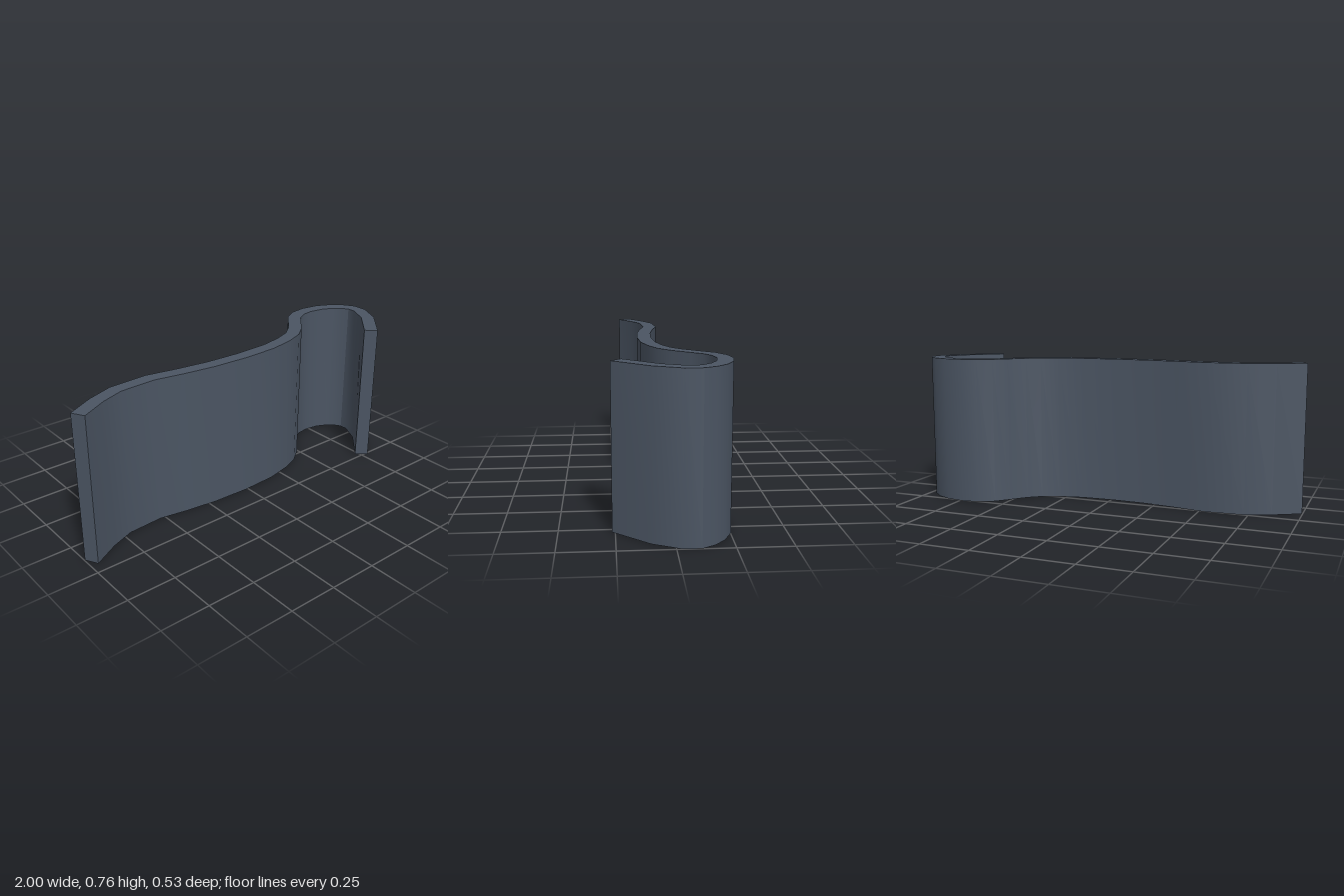
import * as THREE from 'three';
import { toCreasedNormals } from 'three/addons/utils/BufferGeometryUtils.js';

const HEIGHT = 0.757;
const HALF_THICKNESS = 0.0355;

// Centre line of the bent strip, seen from above: [x, z]
const CENTRE_LINE = [
  [-0.98, 0.16], [-0.845, 0.085], [-0.72, 0.037], [-0.525, 0.025],
  [-0.37, 0.053], [-0.2, 0.075], [-0.005, 0.082], [0.17, 0.073],
  [0.3, 0.045], [0.395, 0.008], [0.465, -0.045], [0.537, -0.125],
  [0.588, -0.182], [0.65, -0.217], [0.73, -0.23], [0.82, -0.217],
  [0.89, -0.184], [0.935, -0.143], [0.963, -0.097], [0.963, -0.035],
  [0.905, 0.08], [0.757, 0.24],
].map(([x, z]) => new THREE.Vector2(x, -z));

// Offsets a polyline to one side with mitred corners
function offsetLine(points, distance) {
  const normal = (a, b) => {
    const d = b.clone().sub(a).normalize();
    return new THREE.Vector2(-d.y, d.x);
  };
  return points.map((p, i) => {
    const before = normal(points[Math.max(i - 1, 0)], points[Math.max(i, 1)]);
    const last = points.length - 1;
    const after = normal(points[Math.min(i, last - 1)], points[Math.min(i + 1, last)]);
    const mitre = before.clone().add(after).normalize();
    return p.clone().addScaledVector(mitre, distance / mitre.dot(after));
  });
}

export function createModel() {
  const group = new THREE.Group();
  group.name = 'bentClip';

  // Closed outline: one face of the strip out, the other face back
  const outline = new THREE.Shape([
    ...offsetLine(CENTRE_LINE, -HALF_THICKNESS),
    ...offsetLine(CENTRE_LINE, HALF_THICKNESS).reverse(),
  ]);

  const extruded = new THREE.ExtrudeGeometry(outline, { depth: HEIGHT, bevelEnabled: false });
  extruded.rotateX(-Math.PI / 2);

  const strip = new THREE.Mesh(
    toCreasedNormals(extruded, 0.5),
    new THREE.MeshStandardMaterial({ color: 0x4b5563 }),
  );
  strip.name = 'hookedStrip';
  group.add(strip);
  return group;
}
